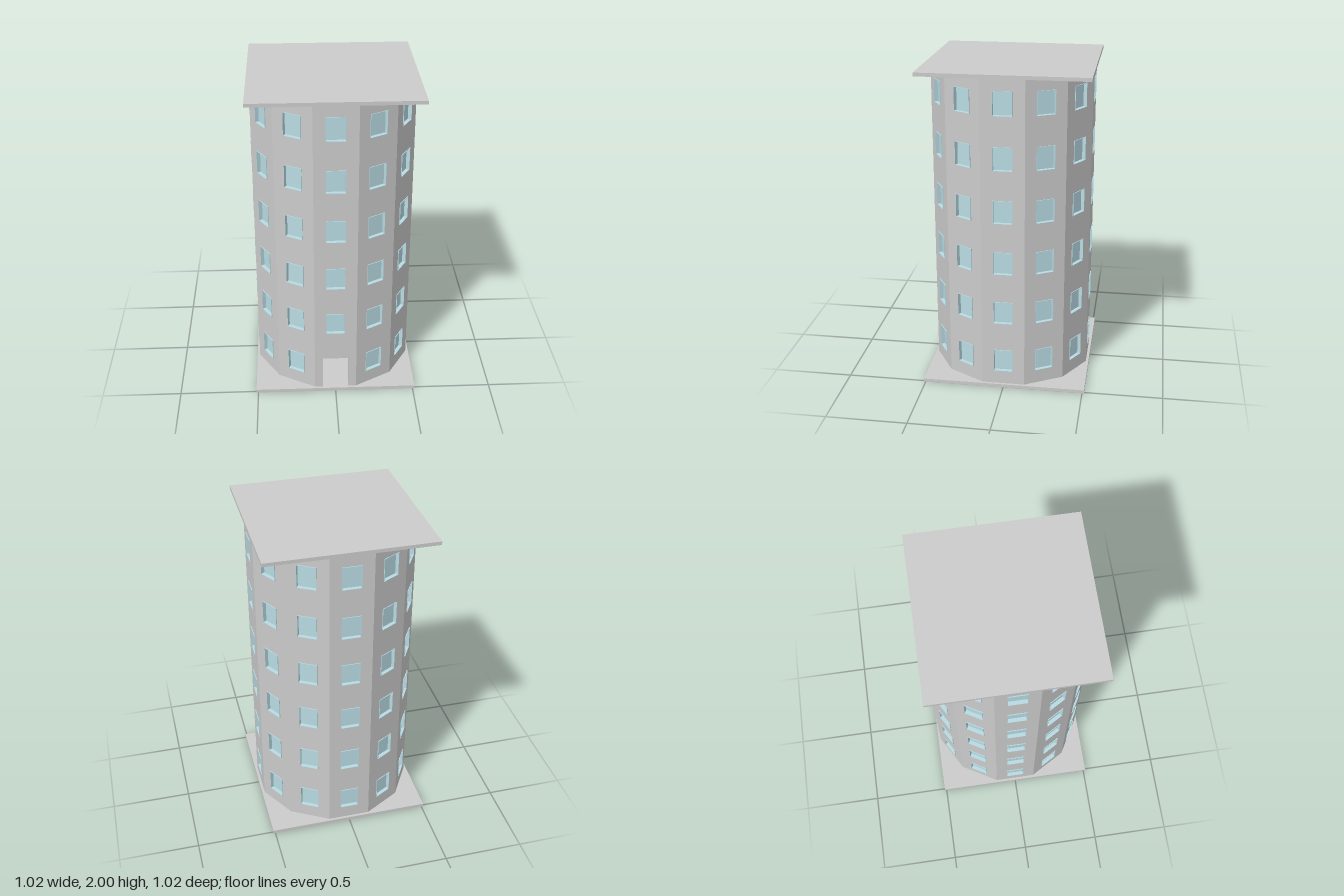
import * as THREE from 'three';

const SIDES = 12, FLOORS = 6;
const APOTHEM = 0.495, WALL = 0.03;
const SLAB = 1.024, SLAB_H = 0.022;
const WIN_W = 0.118, WIN_H = 0.146, FIRST_Y = 0.183, STEP_Y = 0.3295;
const DOOR_W = 0.164, DOOR_TOP = 0.244;
const HALF = APOTHEM * Math.tan(Math.PI / SIDES);

const grey = new THREE.MeshStandardMaterial({ color: 0xcccccc });
const glass = new THREE.MeshStandardMaterial({ color: 0xb8dbe3 });

// Counter-clockwise rectangle, as a Shape or a Path
function rect(Type, w, h, cy = 0) {
  return new Type([[-1, -1], [1, -1], [1, 1], [-1, 1]]
    .map(([x, y]) => new THREE.Vector2(x * w / 2, cy + y * h / 2)));
}

// One facet of the tower with window holes, its ends mitred to meet its neighbours
function wallGeometry(hasDoor) {
  const y0 = SLAB_H, y1 = 2 - SLAB_H, d = DOOR_W / 2;
  const outline = [[-HALF, y0]];
  if (hasDoor) outline.push([-d, y0], [-d, DOOR_TOP], [d, DOOR_TOP], [d, y0]);
  outline.push([HALF, y0], [HALF, y1], [-HALF, y1]);
  const shape = new THREE.Shape(outline.map(([x, y]) => new THREE.Vector2(x, y)));
  for (let f = hasDoor ? 1 : 0; f < FLOORS; f++) {
    shape.holes.push(rect(THREE.Path, WIN_W, WIN_H, FIRST_Y + f * STEP_Y));
  }
  const geo = new THREE.ExtrudeGeometry(shape, { depth: WALL, bevelEnabled: false });
  geo.translate(0, 0, APOTHEM - WALL);
  const p = geo.attributes.position;
  for (let i = 0; i < p.count; i++) {
    if (Math.abs(p.getX(i)) > HALF - 0.001) p.setX(i, p.getX(i) * p.getZ(i) / APOTHEM);
  }
  geo.computeVertexNormals();
  return geo;
}

// Thin sleeve lining a window hole, standing slightly proud of the wall
function frameGeometry() {
  const shape = rect(THREE.Shape, WIN_W, WIN_H);
  shape.holes.push(rect(THREE.Path, WIN_W - 0.004, WIN_H - 0.004));
  const geo = new THREE.ExtrudeGeometry(shape, { depth: WALL + 0.005, bevelEnabled: false });
  geo.translate(0, 0, APOTHEM - WALL);
  return geo;
}

export function createModel() {
  const model = new THREE.Group();
  model.name = 'tower';
  const add = (parent, name, geo, mat, y = 0) => {
    const mesh = new THREE.Mesh(geo, mat);
    mesh.name = name;
    mesh.position.y = y;
    parent.add(mesh);
  };

  // Square base and roof
  const slab = new THREE.BoxGeometry(SLAB, SLAB_H, SLAB);
  add(model, 'baseSlab', slab, grey, SLAB_H / 2);
  add(model, 'roofSlab', slab, grey, 2 - SLAB_H / 2);

  // Twelve facets; the front one has an open doorway on the ground floor
  const plainWall = wallGeometry(false), doorWall = wallGeometry(true);
  const frame = frameGeometry();
  const pane = new THREE.BoxGeometry(WIN_W - 0.004, WIN_H - 0.004, 0.01);
  pane.translate(0, 0, APOTHEM - WALL + 0.006);
  for (let s = 0; s < SIDES; s++) {
    const facet = new THREE.Group();
    facet.name = s === 0 ? 'doorFacet' : 'facet';
    facet.rotation.y = s * 2 * Math.PI / SIDES;
    add(facet, 'wall', s === 0 ? doorWall : plainWall, grey);
    for (let f = s === 0 ? 1 : 0; f < FLOORS; f++) {
      const y = FIRST_Y + f * STEP_Y;
      add(facet, 'windowFrame', frame, glass, y);
      add(facet, 'windowPane', pane, glass, y);
    }
    model.add(facet);
  }
  return model;
}
